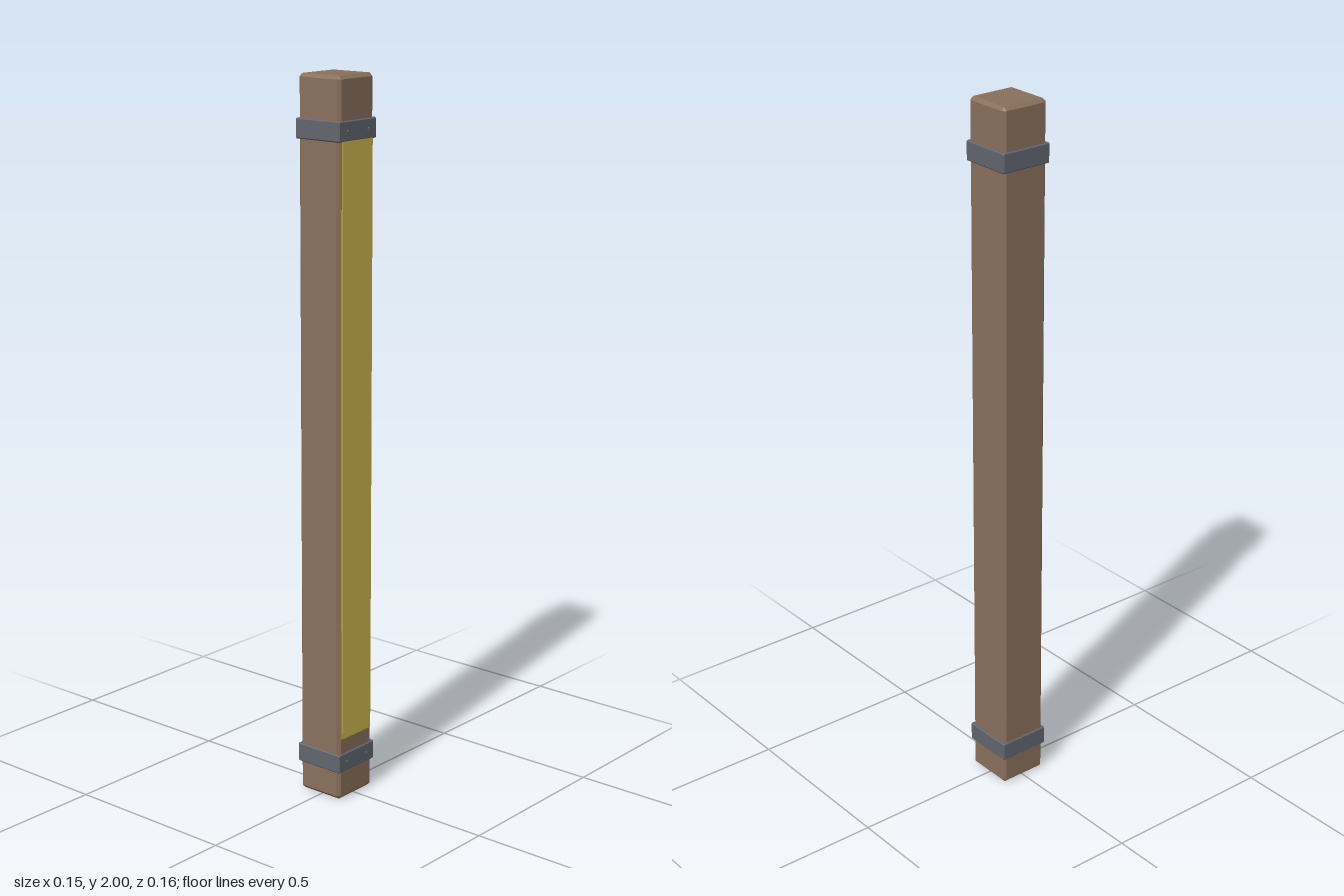
import * as THREE from 'three';
import { ConvexGeometry } from 'three/addons/geometries/ConvexGeometry.js';

// Box with flat chamfers on every edge
function chamferBox(w, h, d, c) {
  const pts = [];
  for (const sx of [-1, 1]) for (const sy of [-1, 1]) for (const sz of [-1, 1]) {
    const x = w / 2, y = h / 2, z = d / 2;
    pts.push(
      new THREE.Vector3(sx * x, sy * (y - c), sz * (z - c)),
      new THREE.Vector3(sx * (x - c), sy * y, sz * (z - c)),
      new THREE.Vector3(sx * (x - c), sy * (y - c), sz * z));
  }
  return new ConvexGeometry(pts);
}

export function createModel() {
  const model = new THREE.Group();
  model.name = 'signPost';
  const wood = new THREE.MeshStandardMaterial({ color: 0x8a705c, flatShading: true });
  const metal = new THREE.MeshStandardMaterial({ color: 0x62666e, flatShading: true });
  const yellow = new THREE.MeshStandardMaterial({ color: 0xd0b850, flatShading: true });
  const zc = -0.003;

  const add = (name, geometry, material, x, y, z, parent = model) => {
    const mesh = new THREE.Mesh(geometry, material);
    mesh.name = name;
    mesh.position.set(x, y, z);
    parent.add(mesh);
    return mesh;
  };

  // Square post
  add('post', chamferBox(0.142, 2, 0.142, 0.009), wood, 0, 1, zc);

  // Thin painted panel on the front, its top end tucked under the upper band
  add('frontPanel', new THREE.BoxGeometry(0.122, 1.67, 0.006), yellow, 0, 1.015, 0.068);

  // Metal bands, each with two rivets on the front
  const bandGeometry = chamferBox(0.152, 0.054, 0.151, 0.003);
  const rivetGeometry = new THREE.CylinderGeometry(0.004, 0.004, 0.008, 8).rotateX(Math.PI / 2);
  for (const [name, y] of [['lowerBand', 0.109], ['upperBand', 1.858]]) {
    const group = new THREE.Group();
    group.name = name;
    group.position.set(0, y, zc);
    model.add(group);
    add('band', bandGeometry, metal, 0, 0, 0, group);
    for (const x of [-0.042, 0.042]) add('rivet', rivetGeometry, metal, x, 0, 0.0755, group);
  }
  return model;
}
